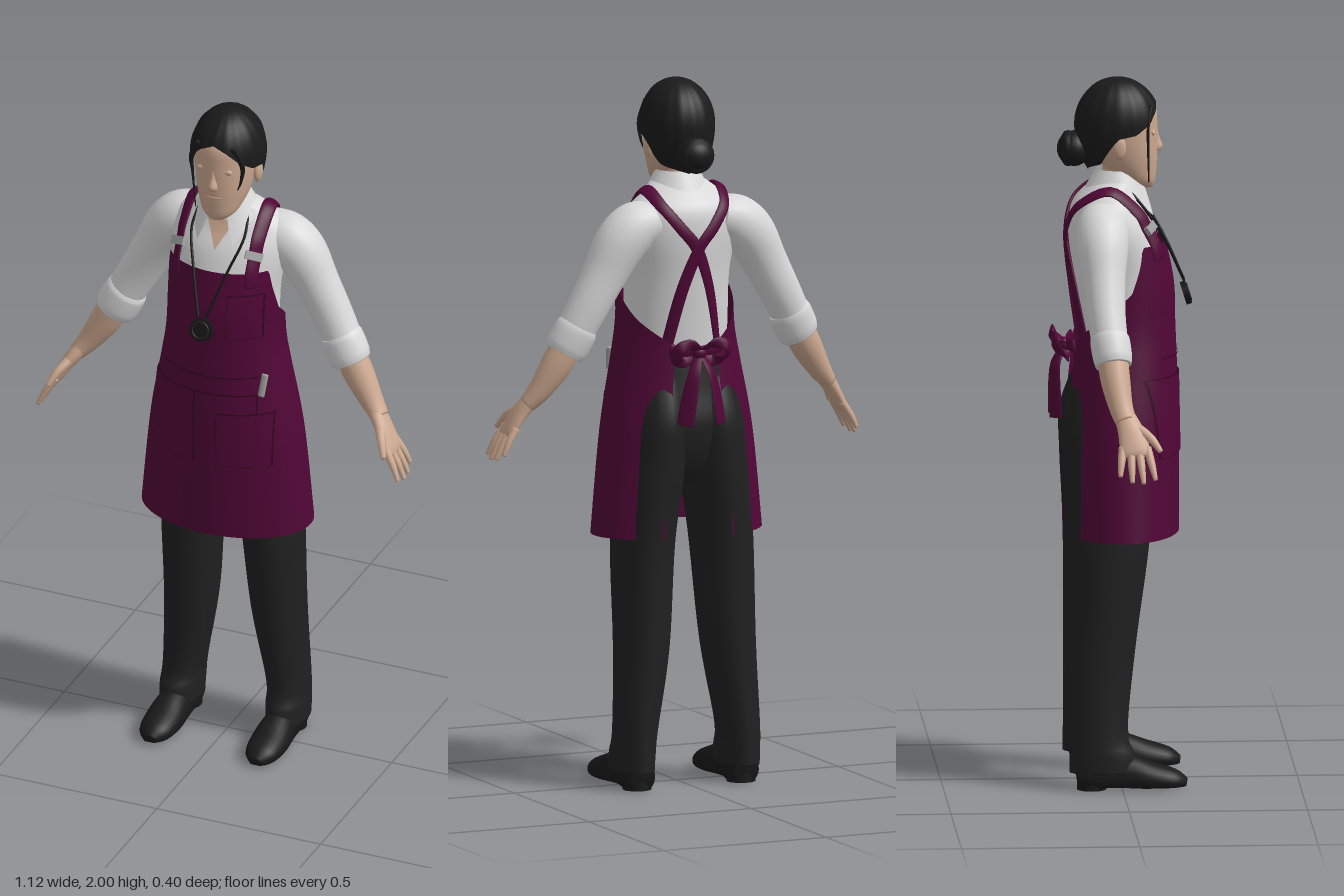
import * as THREE from 'three';

const mat = (name, color, side = THREE.DoubleSide) =>
  Object.assign(new THREE.MeshStandardMaterial({ color, side }), { name });
const M = {
  skin: mat('skin', 0xcba78f), hair: mat('hair', 0x1a1a1a), shirt: mat('shirt', 0xd8d8d8),
  apron: mat('apron', 0x500636), seam: mat('seam', 0x32041f), trousers: mat('trousers', 0x202020),
  shoe: mat('shoe', 0x191919), metal: mat('metal', 0x9c9c9c), cord: mat('cord', 0x151515),
};
const V = (x, y, z) => new THREE.Vector3(x, y, z);
const lerp = THREE.MathUtils.lerp;
const alongZ = () => V(0, 0, 1), alongY = () => V(0, 1, 0);

// Grid surface from a point rule; wrap joins the last column to the first
function grid(nu, nv, fn, wrap = false) {
  const cols = wrap ? nu : nu + 1, pos = [], idx = [];
  for (let j = 0; j <= nv; j++)
    for (let i = 0; i < cols; i++) pos.push(...fn(i / nu, j / nv, j));
  for (let j = 0; j < nv; j++)
    for (let i = 0; i < nu; i++) {
      const k = (i + 1) % cols, a = j * cols + i, b = j * cols + k;
      idx.push(a, b, b + cols, a, b + cols, a + cols);
    }
  const g = new THREE.BufferGeometry();
  g.setAttribute('position', new THREE.Float32BufferAttribute(pos, 3));
  g.setIndex(idx);
  g.computeVertexNormals();
  return g;
}

// Smooth curve through rows of [x, y, z, width radius, depth radius]
function smooth(rows, n = 6) {
  const out = [], L = rows.length - 1;
  for (let i = 0; i < L; i++)
    for (let s = 0; s < n; s++) {
      const t = s / n, q = [rows[Math.max(i - 1, 0)], rows[i], rows[i + 1], rows[Math.min(i + 2, L)]];
      out.push(rows[0].map((_, k) => {
        const [a, b, c, d] = q.map(r => r[k]);
        return b + 0.5 * t * (c - a + t * (2 * a - 5 * b + 4 * c - d + t * (3 * (b - c) + d - a)));
      }));
    }
  return [...out, rows[L]];
}

// Closed loft of ellipses; without ref the ellipses stay level
function loft(rows, ref, seg = 24, n = 6) {
  const r = smooth(rows, n), last = r.length - 1;
  const p = r.map(q => V(q[0], q[1], q[2]));
  const frames = p.map((c, i) => {
    if (!ref) return [V(1, 0, 0), V(0, 0, 1)];
    const T = p[Math.min(i + 1, last)].clone().sub(p[Math.max(i - 1, 0)]).normalize();
    const A = T.clone().cross(ref(c)).normalize();
    return [A, A.clone().cross(T)];
  });
  return grid(seg, last + 2, (u, v, j) => {
    const i = Math.min(Math.max(j - 1, 0), last), k = j === 0 || j === last + 2 ? 0 : 1;
    const [A, B] = frames[i], t = u * Math.PI * 2;
    return p[i].clone().addScaledVector(A, k * r[i][3] * Math.sin(t))
      .addScaledVector(B, k * r[i][4] * Math.cos(t)).toArray();
  }, true);
}

// Body and apron sections
const torso = [[0, 1.2, 0, .145, .105], [0, 1.3, .003, .15, .118], [0, 1.45, 0, .153, .13],
  [0, 1.57, -.02, .17, .12], [0, 1.64, -.035, .16, .097], [0, 1.685, -.025, .11, .072], [0, 1.72, 0, .066, .06]];
const apron = [[0, .715, 0, .253, .168], [0, 1, .003, .224, .164], [0, 1.2, .01, .188, .152],
  [0, 1.3, .012, .172, .146], [0, 1.42, .008, .168, .146], [0, 1.54, -.005, .17, .135]];
const fine = new Map([torso, apron].map(t => [t, smooth(t, 8)]));
function at(table, y) {
  const r = fine.get(table);
  let i = r.findIndex(q => q[1] >= y);
  if (i < 0) i = r.length - 1;
  i = Math.max(i, 1);
  const t = THREE.MathUtils.clamp((y - r[i - 1][1]) / (r[i][1] - r[i - 1][1]), 0, 1);
  return r[i].map((v, k) => lerp(r[i - 1][k], v, t));
}
function on(table, x, y, off = .005, side = 1) {
  const q = at(table, y), k = x / (q[3] + off);
  return [x, y, q[2] + side * (q[4] + off) * Math.sqrt(Math.max(0, 1 - k * k))];
}
function steps(list, x) {
  const i = Math.max(1, list.findIndex(p => p[0] >= x)), [a, b] = [list[i - 1], list[i]];
  return lerp(a[1], b[1], (x - a[0]) / (b[0] - a[0]));
}

export function createModel() {
  const root = new THREE.Group();
  root.name = 'apronWorker';
  const add = (name, geo, material, parent = root) => {
    const m = new THREE.Mesh(geo, material);
    m.name = name;
    parent.add(m);
    return m;
  };
  const ball = (name, m, x, y, z, a, b, c) => {
    const o = add(name, new THREE.SphereGeometry(1, 24, 16), m);
    o.position.set(x, y, z);
    o.scale.set(a, b, c);
    return o;
  };

  // Head and neck
  add('neck', loft([[0, 1.6, -.02, .055, .05], [0, 1.69, .005, .05, .05], [0, 1.79, .01, .052, .06]]), M.skin);
  add('head', loft([[0, 1.688, .073, .024, .022], [0, 1.708, .056, .05, .046], [0, 1.75, .03, .07, .076],
    [0, 1.8, .014, .082, .094], [0, 1.86, 0, .088, .108], [0, 1.92, -.005, .085, .106], [0, 1.97, -.005, .05, .06]], null, 32), M.skin);
  add('nose', loft([[0, 1.79, .1, .014, .016], [0, 1.803, .104, .015, .019], [0, 1.83, .102, .009, .011],
    [0, 1.865, .1, .007, .006]], null, 14), M.skin);
  ball('upperLip', M.skin, 0, 1.765, .099, .026, .006, .009);
  ball('lowerLip', M.skin, 0, 1.752, .097, .022, .007, .009);
  for (const s of [1, -1]) {
    ball('eyelid', M.skin, s * .036, 1.848, .093, .018, .009, .007);
    ball('ear', M.skin, s * .09, 1.815, -.005, .012, .034, .02);
  }

  // Swept-back hair with bun and loose strands
  const hairline = [[0, 1.93], [.4, 1.912], [.8, 1.875], [1.15, 1.85], [1.6, 1.84], [2.1, 1.765], [Math.PI, 1.738]];
  add('hair', grid(64, 20, (u, v) => {
    const t = u * Math.PI * 2, low = steps(hairline, Math.min(t, Math.PI * 2 - t));
    const y = low + (2 - low) * Math.sin(v * Math.PI / 2), d = y - 1.87;
    const k = Math.sqrt(Math.max(0, 1 - (d / (d > 0 ? .13 : .18)) ** 2)) * (1 + .012 * Math.cos(t * 16));
    return [.104 * k * Math.sin(t), y, -.004 + .12 * k * Math.cos(t)];
  }, true), M.hair);
  ball('bun', M.hair, 0, 1.798, -.126, .054, .05, .048);
  const coil = add('bunCoil', new THREE.TorusGeometry(.033, .018, 10, 24), M.hair);
  coil.position.set(0, 1.798, -.142);
  for (const s of [1, -1]) {
    const low = s < 0 ? 1.71 : 1.79;
    add('looseStrand', loft([[s * .05, 1.925, .088, .01, .006], [s * .077, 1.87, .078, .008, .004],
      [s * .074, 1.82, .078, .004, .004], [s * .064, low, .08, .0015, .0015]], alongZ, 10), M.hair);
  }

  // Shirt
  add('shirtBody', loft(torso, null, 40), M.shirt);
  add('openNeck', grid(8, 10, (u, v) => on(torso, (u * 2 - 1) * .042 * v, 1.59 + .08 * v, .004)), M.skin);
  add('collar', grid(48, 8, (u, v) => {
    const t0 = lerp(.62, .3, v), t = lerp(t0, Math.PI * 2 - t0, u), w = Math.max(0, Math.cos(t) / .81) ** 2 * (1 - v);
    const r = lerp(.092, .06, v);
    return [r * Math.sin(t), lerp(1.685, 1.742, v) - .07 * w, -.004 + r * Math.cos(t) + .022 * w];
  }), M.shirt);

  for (const s of [1, -1]) {
    const side = new THREE.Group();
    side.name = s > 0 ? 'leftLimbs' : 'rightLimbs';
    root.add(side);
    const limb = (name, rows, m, ref, seg) =>
      add(name, loft(rows.map(([x, ...q]) => [s * x, ...q]), ref, seg), m, side);
    // Rolled sleeve, forearm and hand
    limb('sleeve', [[.1, 1.607, -.055, .06, .065], [.155, 1.59, -.056, .074, .073], [.2, 1.548, -.057, .074, .072],
      [.248, 1.465, -.056, .064, .06], [.3, 1.37, -.052, .058, .054], [.35, 1.275, -.04, .054, .05]], M.shirt, alongZ);
    limb('cuff', [[.322, 1.325, -.045, .056, .051], [.331, 1.309, -.044, .062, .056], [.353, 1.267, -.038, .062, .055],
      [.364, 1.247, -.036, .056, .05]], M.shirt, alongZ);
    limb('forearm', [[.345, 1.29, -.04, .043, .043], [.385, 1.215, -.033, .044, .042], [.43, 1.145, -.02, .033, .034],
      [.462, 1.105, -.006, .024, .03]], M.skin, alongZ);
    limb('palm', [[.45, 1.12, -.01, .024, .029], [.48, 1.08, .006, .02, .037], [.508, 1.033, .016, .016, .042],
      [.517, 1.017, .018, .01, .037]], M.skin, alongZ);
    [-.034, -.011, .011, .034].forEach((d, i) => {
      const k = [.8, .97, 1, .9][i];
      limb('finger', [[.503, 1.04, .016 + d, .011, .012], [.503 + .03 * k, 1.04 - .048 * k, .019 + d * 1.25, .01, .0105],
        [.503 + .052 * k, 1.04 - .093 * k, .022 + d * 1.45, .006, .006]], M.skin, alongZ, 10);
    });
    limb('thumb', [[.472, 1.092, .02, .015, .016], [.495, 1.065, .06, .012, .013], [.513, 1.03, .088, .007, .007]],
      M.skin, alongZ, 10);
    // Trouser leg and shoe
    limb('trouserLeg', [[.162, .05, -.052, .057, .096], [.161, .1, -.056, .059, .092], [.157, .17, -.066, .06, .082],
      [.133, .4, -.055, .076, .094], [.12, .7, -.036, .086, .115], [.095, .92, -.036, .092, .126],
      [.084, 1.05, -.038, .086, .124], [.075, 1.17, -.02, .068, .1]], M.trousers);
    const shoe = limb('shoe', [[.16, .035, -.128, .036, .04], [.16, .04, -.09, .046, .05], [.16, .04, 0, .048, .06],
      [.161, .03, .08, .054, .046], [.162, .022, .145, .045, .033], [.162, .016, .18, .018, .014]], M.shoe, alongY).geometry;
    const sp = shoe.attributes.position;
    for (let i = 0; i < sp.count; i++) sp.setY(i, Math.max(sp.getY(i), sp.getZ(i) > -.05 ? .008 : 0));
    shoe.computeVertexNormals();
    const heel = add('heel', new THREE.CylinderGeometry(.041, .041, .03, 24), M.shoe, side);
    heel.position.set(s * .16, .015, -.086);
  }
  add('trouserHips', loft([[0, .86, -.035, .06, .06], [0, .93, -.034, .15, .1], [0, 1.03, -.03, .175, .124],
    [0, 1.13, -.014, .168, .12], [0, 1.23, -.002, .152, .114]], null, 36), M.trousers);

  // Apron, open at the back
  const topEdge = [[0, 1.54], [.39, 1.54], [.43, 1.49], [.52, 1.41], [.75, 1.33], [1, 1.26]];
  add('apron', grid(100, 40, (u, v) => {
    const w = u * 2 - 1, y = lerp(.715, steps(topEdge, Math.abs(w)), v), q = at(apron, y), t = w * lerp(2.72, 2.78, v);
    return [q[3] * Math.sin(t), y, q[2] + q[4] * Math.cos(t)];
  }), M.apron);
  const patch = (name, x0, x1, y0, y1, off, m) =>
    add(name, grid(14, 10, (u, v) => on(apron, lerp(x0, x1, u), lerp(y0, y1, v), off)), m);
  const pockets = [[.06, .145, 1.345, 1.475], [-.185, -.035, .945, 1.165], [.035, .18, .945, 1.105], [-.03, .14, 1.11, 1.165]];
  for (const [a, b, c, d] of pockets) {
    patch('pocketSeam', a - .003, b + .003, c - .003, d + .003, .003, M.seam);
    patch('pocket', a, b, c, d, .005, M.apron);
  }
  patch('waistSeam', -.14, .14, 1.218, 1.222, .003, M.seam);
  add('pen', loft([[.152, 1.165], [.155, 1.195], [.158, 1.228]].map(([x, y]) => [...on(apron, x, y, .009), .01, .006]), alongZ, 10), M.metal);

  // Crossed straps with buckles, ties and bow
  const out = p => V(p.x, Math.max(0, p.y - 1.55) * 1.5, p.z + .02);
  for (const s of [1, -1]) {
    const f = y => on(torso, s * .115, y, .01), b = (x, y) => on(torso, s * x, y, s > 0 ? .008 : .012, -1);
    const path = [on(apron, s * .115, 1.5, .003), on(apron, s * .115, 1.54, .003), f(1.59), f(1.635),
      [s * .113, 1.694, -.03], b(.095, 1.655), b(.05, 1.595), b(0, 1.53), b(-.045, 1.41), b(-.08, 1.25)];
    add('strap', loft(path.map((p, i) => [...p, i < 5 ? .021 : .017, .006]), out, 12), M.apron);
    const buckle = add('buckle', new THREE.BoxGeometry(.05, .024, .012), M.metal);
    buckle.position.set(...on(torso, s * .115, 1.59, .019));
    buckle.rotation.set(-.6, s * .5, 0);
    // Ribbons face diagonally outward
    const ribbon = (name, rows) =>
      add(name, loft(rows.map(([x, y, z, w = .017]) => [s * x, y, z, w, .005]), () => V(s * .8, 0, -1), 10), M.apron);
    ribbon('waistTie', [[.08, 1.25, -.13], [.04, 1.245, -.142], [0, 1.24, -.146]]);
    ribbon('bowLoop', [[0, 1.24, -.15], [.035, 1.268, -.18], [.072, 1.262, -.185], [.078, 1.23, -.168], [.045, 1.215, -.145], [0, 1.236, -.145]]);
    ribbon('bowTail', [[0, 1.24, -.152, .012], [.025, 1.19, -.178, .018], [.042, 1.12, -.182, .024], [.055, 1.04, -.18, .026]]);
  }
  ball('bowKnot', M.apron, 0, 1.24, -.155, .022, .02, .018);

  // Neck cord and round pendant
  for (const s of [1, -1]) {
    const pts = [[.075, 1.685, .03], [.08, 1.635, .07], [.05, 1.54, .128], [.012, 1.42, .182]];
    add('neckCord', new THREE.TubeGeometry(new THREE.CatmullRomCurve3(pts.map(([x, y, z]) => V(s * x, y, z))), 24, .004, 8), M.cord);
  }
  const pendant = new THREE.Group();
  pendant.name = 'pendant';
  pendant.position.set(0, 1.382, .188);
  pendant.rotation.x = Math.PI / 2 - .3;
  root.add(pendant);
  add('pendantDisc', new THREE.CylinderGeometry(.033, .033, .016, 32), M.cord, pendant);
  const rim = add('pendantRim', new THREE.TorusGeometry(.024, .003, 8, 32), M.trousers, pendant);
  rim.rotation.x = Math.PI / 2;
  rim.position.y = .008;
  return root;
}
